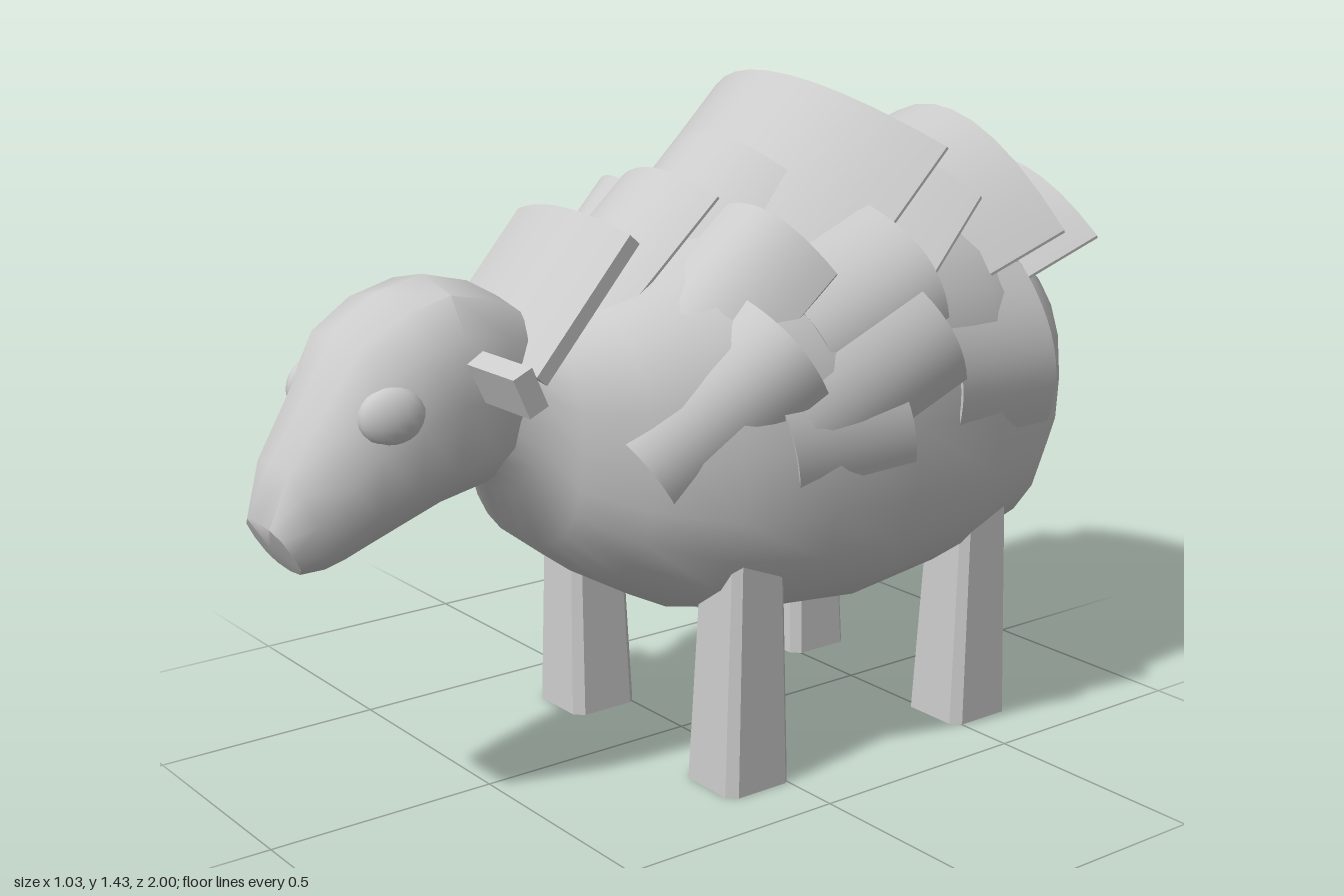
import * as THREE from 'three';
import { toCreasedNormals } from 'three/addons/utils/BufferGeometryUtils.js';

const grey = new THREE.MeshStandardMaterial({ color: 0xcccccc });
const sheet = new THREE.MeshStandardMaterial({ color: 0xcccccc, side: THREE.DoubleSide });

function add(parent, name, geometry, material = grey) {
  const mesh = new THREE.Mesh(geometry, material);
  mesh.name = name;
  parent.add(mesh);
  return mesh;
}

// Skin over rings, listed rear to front as [topZ, topY, bottomZ, bottomY, halfWidth]
function loft(sections, sides, power) {
  const positions = [], index = [];
  const bend = (v) => Math.sign(v) * Math.abs(v) ** power;
  sections.forEach(([tz, ty, bz, by, w], i) => {
    for (let j = 0; j < sides; j++) {
      const t = (j / sides) * Math.PI * 2;
      const c = bend(Math.cos(t)), s = bend(Math.sin(t));
      positions.push(w * s, (ty + by) / 2 + ((ty - by) / 2) * c, (tz + bz) / 2 + ((tz - bz) / 2) * c);
      if (i === 0) continue;
      const k = (j + 1) % sides, a = (i - 1) * sides, b = i * sides;
      index.push(a + j, b + j, a + k, b + j, b + k, a + k);
    }
  });
  const g = new THREE.BufferGeometry();
  g.setAttribute('position', new THREE.Float32BufferAttribute(positions, 3));
  g.setIndex(index);
  g.computeVertexNormals();
  return g;
}

// Thin arched lock of wool from a (root) to b (tip); side = half width, drop = fall of the edges
function lock(a, b, side, drop, thickness = 0.006) {
  const [A, B, S, D] = [a, b, side, drop].map((v) => new THREE.Vector3(...v));
  const along = B.clone().sub(A);
  const normal = S.clone().cross(along).normalize();
  const g = new THREE.BoxGeometry(2, 1, 1, 12, 1, 2);
  const p = g.attributes.position, q = new THREE.Vector3();
  for (let i = 0; i < p.count; i++) {
    const u = p.getX(i), v = 0.5 - p.getZ(i);
    q.copy(A).addScaledVector(along, v).addScaledVector(S, u)
      .addScaledVector(D, u * u).addScaledVector(normal, p.getY(i) * thickness);
    p.setXYZ(i, q.x, q.y, q.z);
  }
  g.computeVertexNormals();
  return g;
}

// Tapered leg with chamfered corners, foot at y = 0
function legGeometry() {
  const r = 0.082, c = 0.02;
  const shape = new THREE.Shape([
    [-r, -r + c], [-r + c, -r], [r - c, -r], [r, -r + c],
    [r, r - c], [r - c, r], [-r + c, r], [-r, r - c],
  ].map(([x, y]) => new THREE.Vector2(x, y)));
  const g = new THREE.ExtrudeGeometry(shape, { depth: 0.55, bevelEnabled: false });
  g.rotateX(-Math.PI / 2);
  const p = g.attributes.position;
  for (let i = 0; i < p.count; i++) {
    const k = 1 - 0.4 * p.getY(i);
    p.setX(i, p.getX(i) * k + 0.02 * p.getY(i));
    p.setZ(i, p.getZ(i) * k);
  }
  g.computeVertexNormals();
  return g;
}

export function createModel() {
  const model = new THREE.Group();
  model.name = 'sheep';
  const animal = new THREE.Group();
  animal.name = 'animal';
  animal.position.x = 0.012;
  model.add(animal);

  // Round barrel body
  add(animal, 'body', loft([
    [-0.89, 0.76, -0.89, 0.76, 0],
    [-0.88, 0.92, -0.89, 0.59, 0.17],
    [-0.83, 1.01, -0.84, 0.45, 0.29],
    [-0.70, 1.09, -0.70, 0.36, 0.39],
    [-0.50, 1.17, -0.50, 0.315, 0.445],
    [-0.25, 1.21, -0.25, 0.285, 0.462],
    [-0.05, 1.18, -0.05, 0.305, 0.45],
    [0.15, 1.11, 0.15, 0.345, 0.395],
    [0.30, 1.02, 0.30, 0.43, 0.295],
    [0.40, 0.98, 0.42, 0.52, 0.215],
    [0.46, 0.97, 0.47, 0.64, 0.16],
    [0.56, 0.96, 0.56, 0.69, 0.14],
  ], 24, 0.8));

  // Head with drooping muzzle
  add(animal, 'head', toCreasedNormals(loft([
    [0.47, 0.87, 0.47, 0.87, 0],
    [0.46, 1.03, 0.46, 0.71, 0.14],
    [0.53, 1.07, 0.56, 0.67, 0.175],
    [0.63, 1.095, 0.67, 0.65, 0.19],
    [0.73, 1.07, 0.75, 0.62, 0.185],
    [0.82, 1.015, 0.82, 0.59, 0.165],
    [0.88, 0.91, 0.86, 0.57, 0.135],
    [0.965, 0.78, 0.89, 0.56, 0.108],
    [1.0, 0.67, 0.935, 0.56, 0.08],
    [0.975, 0.615, 0.975, 0.615, 0],
  ], 12, 0.8), 0.75));

  // Ears, eyes and legs on both sides
  for (const [side, s] of [['left', 1], ['right', -1]]) {
    const ear = add(animal, side + 'Ear', new THREE.BoxGeometry(0.19, 0.085, 0.045));
    ear.position.set(s * 0.24, 0.923, 0.605);
    ear.rotation.x = 0.42;

    const eye = add(animal, side + 'Eye', new THREE.SphereGeometry(1, 16, 12));
    eye.scale.set(0.035, 0.058, 0.066);
    eye.position.set(s * 0.152, 0.87, 0.79);
    eye.rotation.y = -s * 0.25;

    for (const [end, z] of [['Front', 0.07], ['Back', -0.563]]) {
      const leg = add(animal, side + end + 'Leg', legGeometry());
      leg.position.set(s * 0.275, 0, z);
      leg.rotation.y = s > 0 ? 0 : Math.PI;
    }
  }

  // Stubby tail with a chamfered tip
  const tailShape = new THREE.Shape([
    [-0.80, 0.91], [-0.93, 0.905], [-0.99, 0.872], [-1.0, 0.835], [-0.97, 0.80], [-0.80, 0.84],
  ].map(([z, y]) => new THREE.Vector2(-z, y)));
  const tail = add(animal, 'tail', new THREE.ExtrudeGeometry(tailShape, {
    depth: 0.13, bevelSize: 0.015, bevelThickness: 0.015, bevelOffset: -0.015, bevelSegments: 1,
  }));
  tail.rotation.y = Math.PI / 2;
  tail.position.x = -0.065;

  // Arched locks of wool along the back, from neck to rump
  const fleece = new THREE.Group();
  fleece.name = 'fleece';
  animal.add(fleece);
  [
    [[0, 0.93, 0.51], [0, 1.18, 0.29], [0.197, 0, 0], [0, -0.03, -0.02], 0.03],
    [[0, 1.02, 0.32], [0, 1.245, 0.07], [0.165, 0, 0], [0, -0.04, -0.03]],
    [[0, 1.10, 0.16], [0, 1.31, -0.06], [0.31, 0, 0], [0, -0.15, -0.13]],
    [[0, 1.13, 0.08], [0, 1.425, -0.22], [0.39, 0, 0], [0, -0.13, -0.15]],
    [[0, 1.10, -0.12], [0, 1.345, -0.33], [0.39, 0, 0], [0, -0.16, -0.14]],
    [[0, 1.20, -0.32], [0, 1.32, -0.70], [0.365, 0, 0], [0, -0.24, -0.05]],
    [[0, 1.08, -0.52], [0, 1.195, -0.885], [0.32, 0, 0], [0, -0.15, -0.02]],
  ].forEach((l, i) => add(fleece, 'backLock' + (i + 1), lock(...l), sheet));

  // Locks hanging over the shoulders and flanks
  const flanks = [
    [[0.295, 0.73, 0.32], [0.435, 0.96, 0.06], [-0.06, 0.09, 0.055], [-0.05, -0.02, -0.02]],
    [[0.27, 0.98, 0.21], [0.30, 1.18, 0.0], [-0.11, 0.06, 0.05], [-0.02, -0.05, -0.03]],
    [[0.43, 0.80, 0.02], [0.505, 0.97, -0.27], [-0.04, 0.12, 0.07], [-0.05, -0.01, 0]],
    [[0.40, 0.97, -0.02], [0.46, 1.10, -0.25], [-0.07, 0.11, 0.05], [-0.05, -0.02, 0]],
    [[0.425, 0.77, 0.06], [0.48, 0.80, -0.2], [-0.02, 0.12, 0.03], [-0.03, 0, 0]],
    [[0.455, 0.86, -0.36], [0.43, 0.85, -0.66], [-0.04, 0.17, 0.01], [-0.06, 0, 0]],
  ];
  for (const [side, s] of [['left', 1], ['right', -1]]) {
    const mirror = ([x, y, z]) => [s * x, y, z];
    flanks.forEach((l, i) => add(fleece, side + 'FlankLock' + (i + 1), lock(...l.map(mirror)), sheet));
  }
  return model;
}
